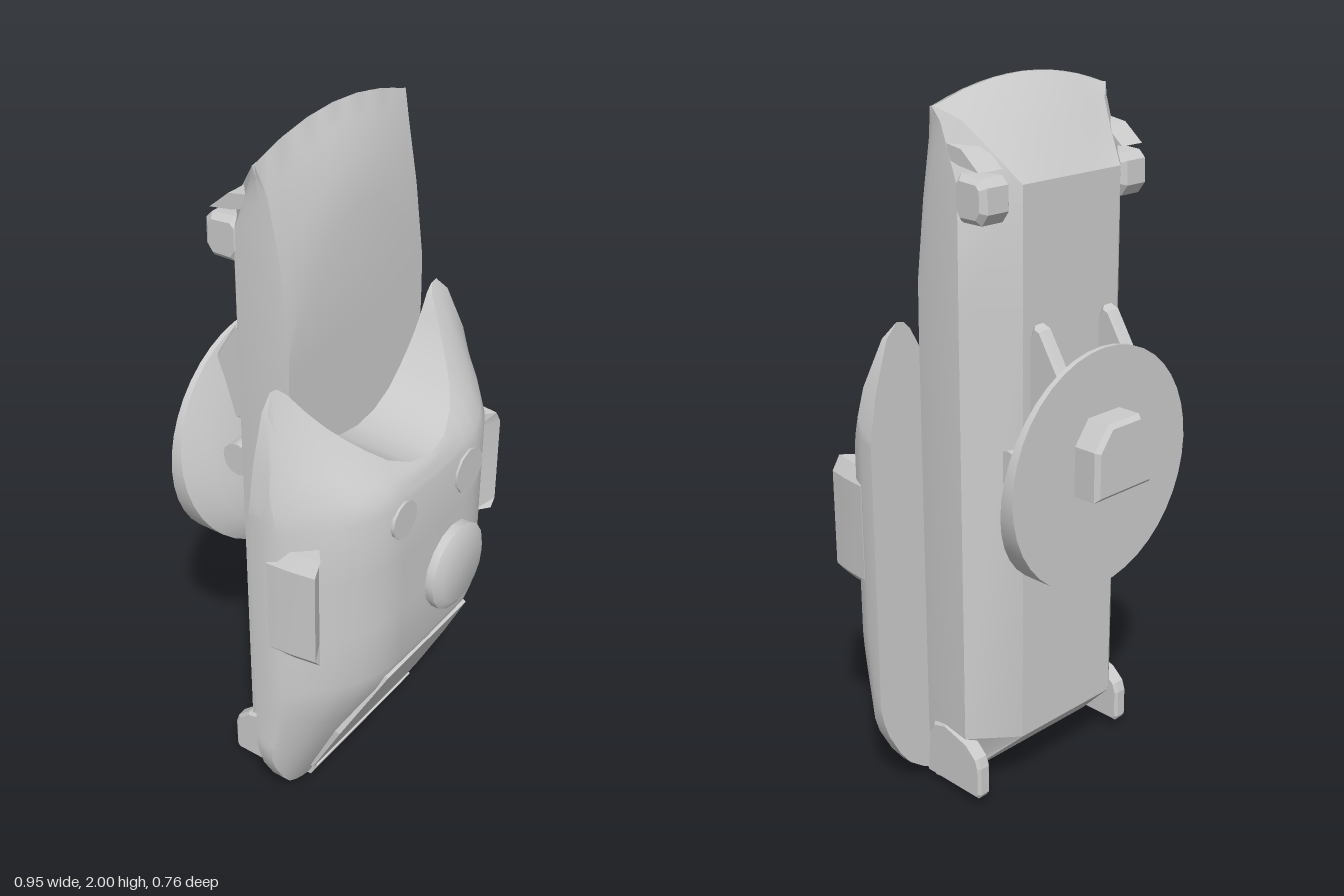
import * as THREE from 'three';
import { toCreasedNormals } from 'three/addons/utils/BufferGeometryUtils.js';

const mat = new THREE.MeshStandardMaterial({ color: 0xcccccc });

// Piecewise-linear lookup through [input, output] pairs
function interp(table, v) {
  if (v <= table[0][0]) return table[0][1];
  for (let i = 1; i < table.length; i++) {
    const [a, fa] = table[i - 1], [b, fb] = table[i];
    if (v <= b) return fa + ((fb - fa) * (v - a)) / (b - a);
  }
  return table[table.length - 1][1];
}

function fromTriangles(tris, crease) {
  const geo = new THREE.BufferGeometry();
  geo.setAttribute('position', new THREE.Float32BufferAttribute(tris.flat(), 3));
  return toCreasedNormals(geo, crease);
}

const quad = (out, a, b, c, d) => out.push(a, b, c, a, c, d);

// Closed skin over rings of points, with a fan cap at each end
function loft(rings, crease = 0.5) {
  const out = [], n = rings[0].length;
  for (let j = 0; j + 1 < rings.length; j++)
    for (let i = 0; i < n; i++) {
      const k = (i + 1) % n;
      quad(out, rings[j][i], rings[j][k], rings[j + 1][k], rings[j + 1][i]);
    }
  const middle = (r) => [0, 1, 2].map((c) => r.reduce((s, p) => s + p[c], 0) / n);
  const first = rings[0], last = rings[rings.length - 1];
  for (let i = 0; i < n; i++) {
    const k = (i + 1) % n;
    out.push(middle(last), last[i], last[k], middle(first), first[k], first[i]);
  }
  return fromTriangles(out, crease);
}

// Outline given as [z, y] pairs, extruded along x around the centre x
function sidePlate(points, x, width, bevel = 0) {
  const shape = new THREE.Shape(points.map(([z, y]) => new THREE.Vector2(-z, y)));
  const geo = new THREE.ExtrudeGeometry(shape, {
    depth: width - 2 * bevel, bevelEnabled: bevel > 0, bevelSize: bevel,
    bevelThickness: bevel, bevelOffset: -bevel, bevelSegments: 1,
  });
  return geo.translate(0, 0, bevel - width / 2).rotateY(Math.PI / 2).translate(x, 0, 0);
}

// Long inner body: rounded front, chamfered back corners, ridge on top
function bodyGeometry() {
  // y, front z, back z, half width, back half width, front drop, back drop
  const levels = [
    [0.02, 0.08, 0.0, 0.29, 0.27, 0, 0],
    [0.2, 0.08, -0.18, 0.3, 0.18, 0, 0],
    [1.4, 0.08, -0.18, 0.3, 0.18, 0, 0],
    [1.76, 0.08, -0.18, 0.298, 0.18, 0.26, 0],
    [1.87, 0.055, -0.11, 0.296, 0.22, 0.16, 0.03],
    [1.95, 0.025, -0.05, 0.298, 0.26, 0.08, 0.04],
    [2.0, 0.0, -0.004, 0.31, 0.305, 0.055, 0.055],
  ];
  return loft(levels.map(([y, zf, zb, w, wb, df, db]) => {
    const ring = [];
    for (let i = -6; i <= 6; i++) ring.push([(w * i) / 6, y - df * (i / 6) ** 2, zf]);
    const side = [[w + 0.008, 0.32], [w + 0.004, 0.6]];
    for (const [x, t] of side) ring.push([x, y - db, zf + (zb - zf) * t]);
    for (let i = 3; i >= -3; i--) ring.push([(wb * i) / 3, y - db * (i / 3) ** 2, zb]);
    for (const [x, t] of side.reverse()) ring.push([-x, y - db, zf + (zb - zf) * t]);
    return ring;
  }), 0.45);
}

// Front cover: domed shell with a round notch between two upper horns
const BACK = 0.08;
function coverGeometry() {
  const bottom = [[0, 0.005], [0.25, 0.01], [0.32, 0.045], [0.38, 0.09], [0.43, 0.16], [0.46, 0.23], [0.475, 0.3]];
  const top = [[0, 1.11], [0.08, 1.122], [0.15, 1.155], [0.22, 1.215], [0.27, 1.275], [0.3, 1.32],
    [0.33, 1.375], [0.35, 1.395], [0.375, 1.4], [0.41, 1.36], [0.45, 1.23], [0.475, 1.1]];
  const across = [[0, 1], [0.2, 0.99], [0.26, 0.93], [0.3, 0.86], [0.36, 0.72], [0.43, 0.47], [0.465, 0.3], [0.475, 0.15]];
  const along = [[0, 0.02], [0.06, 0.13], [0.46, 0.94], [0.52, 1], [1.05, 1], [1.1, 0.94], [1.4, 0]];
  const half = [0.08, 0.15, 0.2, 0.24, 0.27, 0.3, 0.33, 0.35, 0.375, 0.41, 0.45, 0.465, 0.475];
  const xs = [...half.map((x) => -x).reverse(), 0, ...half];
  const columns = xs.map((x) => {
    const ax = Math.abs(x), b = interp(bottom, ax), t = interp(top, ax), col = [];
    for (let j = 0; j < 6; j++) col.push(b + ((0.52 - b) * j) / 6);
    for (let j = 0; j < 3; j++) col.push(0.52 + (0.53 * j) / 3);
    for (let j = 0; j <= 5; j++) col.push(1.05 + ((t - 1.05) * j) / 5);
    return col.map((y) => [x, y, BACK + 0.26 * interp(across, ax) * interp(along, y)]);
  });
  const out = [], flat = (p) => [p[0], p[1], BACK];
  const rows = columns[0].length, last = columns.length - 1;
  for (let i = 0; i < last; i++)
    for (let j = 0; j + 1 < rows; j++) {
      const q = [columns[i][j], columns[i + 1][j], columns[i + 1][j + 1], columns[i][j + 1]];
      quad(out, ...q);
      quad(out, ...q.map(flat).reverse());
    }
  // Wall around the rim
  const rim = [
    ...columns.map((c) => c[0]), ...columns[last].slice(1),
    ...columns.slice(0, last).reverse().map((c) => c[rows - 1]),
    ...columns[0].slice(1, rows - 1).reverse(),
  ];
  rim.forEach((p, i) => {
    const q = rim[(i + 1) % rim.length];
    quad(out, flat(p), flat(q), q, p);
  });
  return fromTriangles(out, 0.55);
}

// Wedge-shaped disc on the back, thick at the bottom and thin at the top
function discGeometry() {
  const circle = (r, z) => Array.from({ length: 40 }, (_, i) => {
    const a = (i / 40) * Math.PI * 2, y = r * Math.sin(a);
    return [r * Math.cos(a), 0.995 + y, z(y / 0.34)];
  });
  const edge = (v) => -0.26 - 0.0475 * v + 0.0225 * v * v;
  return loft([
    circle(0.338, () => -0.3),
    circle(0.338, edge),
    circle(0.27, (v) => edge(v) + 0.04 * (1 - 0.5 * v)),
    circle(0.15, (v) => edge(v) + 0.07 * (1 - 0.4 * v)),
  ]);
}

export function createModel() {
  const model = new THREE.Group();
  const add = (name, geo) => {
    const mesh = new THREE.Mesh(geo, mat);
    mesh.name = name;
    model.add(mesh);
    return mesh;
  };
  // Round part facing the front, from z0 to z1
  const round = (name, x, y, z0, z1, r0, r1, sides) => add(name, toCreasedNormals(
    new THREE.CylinderGeometry(r1, r0, z1 - z0, sides).rotateX(Math.PI / 2).translate(x, y, (z0 + z1) / 2), 0.7));

  add('innerBody', bodyGeometry());
  add('frontCover', coverGeometry());

  // Buttons on the cover
  round('smallButton', -0.16, 1.0, 0.32, 0.345, 0.055, 0.055, 12);
  round('mediumButton', 0.16, 0.98, 0.32, 0.345, 0.067, 0.067, 10);
  round('largeButtonBase', 0.09, 0.7, 0.32, 0.365, 0.132, 0.132, 16);
  round('largeButtonCap', 0.09, 0.7, 0.365, 0.38, 0.132, 0.105, 16);

  // Sloped lower panel and bottom lip
  const panel = new THREE.Shape([[-0.25, 0], [0.25, 0], [0.282, 0.03], [0.282, 0.24], [0.205, 0.485], [-0.205, 0.485],
    [-0.282, 0.24], [-0.282, 0.03]].map(([x, y]) => new THREE.Vector2(x, y)));
  const panelMesh = add('lowerPanel', new THREE.ExtrudeGeometry(panel, { depth: 0.02, bevelEnabled: false }).translate(0, 0, -0.013));
  panelMesh.position.set(0, 0.05, 0.107);
  panelMesh.rotation.x = Math.atan2(0.22, 0.43);
  add('bottomLip', sidePlate([[0.07, 0.0], [0.095, 0.0], [0.122, 0.05], [0.08, 0.06]], 0, 0.5));

  // Back disc with its knob and mount
  add('backDisc', discGeometry());
  const knob = new THREE.Shape([[-0.11, 0.95], [0.11, 0.95], [0.11, 1.09], [0.06, 1.155], [-0.06, 1.155], [-0.11, 1.09]]
    .map(([x, y]) => new THREE.Vector2(x, y)));
  add('backKnob', new THREE.ExtrudeGeometry(knob, {
    depth: 0.08, bevelEnabled: true, bevelSize: 0.012, bevelOffset: -0.012, bevelThickness: 0.012, bevelSegments: 1,
  }).translate(0, 0, -0.368));
  add('discMount', new THREE.BoxGeometry(0.22, 0.24, 0.1).translate(0, 1.06, -0.21));
  add('mountAxle', new THREE.CylinderGeometry(0.05, 0.05, 0.44, 12).rotateZ(Math.PI / 2).translate(0, 1.02, -0.165));

  for (const s of [1, -1]) {
    const side = s > 0 ? 'left' : 'right';
    add(side + 'MountRib', sidePlate([[-0.16, 1.1], [-0.29, 1.1], [-0.29, 1.27], [-0.215, 1.39], [-0.19, 1.4], [-0.17, 1.36]], s * 0.13, 0.045, 0.008));

    // Grip on the cover's flank, tapered at its outer corners
    const grip = [[0.66, 0.02], [0.685, 0], [0.96, 0], [1.0, 0.025]].map(([y, inset]) => {
      const ring = [[0.39, 0.12], [0.39, 0.235], [0.456 - inset, 0.27], [0.468 - inset, 0.2], [0.474 - inset, 0.13]];
      return (s > 0 ? ring : ring.reverse()).map(([x, z]) => [s * x, y, z]);
    });
    add(side + 'SideGrip', loft(grip, 0.3));

    // Peg and small eave on the back chamfer near the top
    add(side + 'UpperPeg', sidePlate([[-0.06, 1.7], [-0.08, 1.67], [-0.15, 1.67], [-0.172, 1.7], [-0.17, 1.765], [-0.15, 1.785], [-0.08, 1.79], [-0.06, 1.77]], s * 0.255, 0.1, 0.015));
    add(side + 'PegEave', sidePlate([[-0.02, 1.83], [-0.03, 1.86], [-0.09, 1.85], [-0.15, 1.8], [-0.08, 1.81]], s * 0.26, 0.08));

    // Thin foot flap at the lower corner
    add(side + 'FootFlap', sidePlate([[0.08, 0.03], [0.07, 0.17], [0.05, 0.205], [0, 0.22], [-0.09, 0.195], [-0.13, 0.16], [-0.14, 0.13], [-0.14, 0.045], [-0.13, 0.03]], s * 0.29, 0.045, 0.008));
  }
  return model;
}
